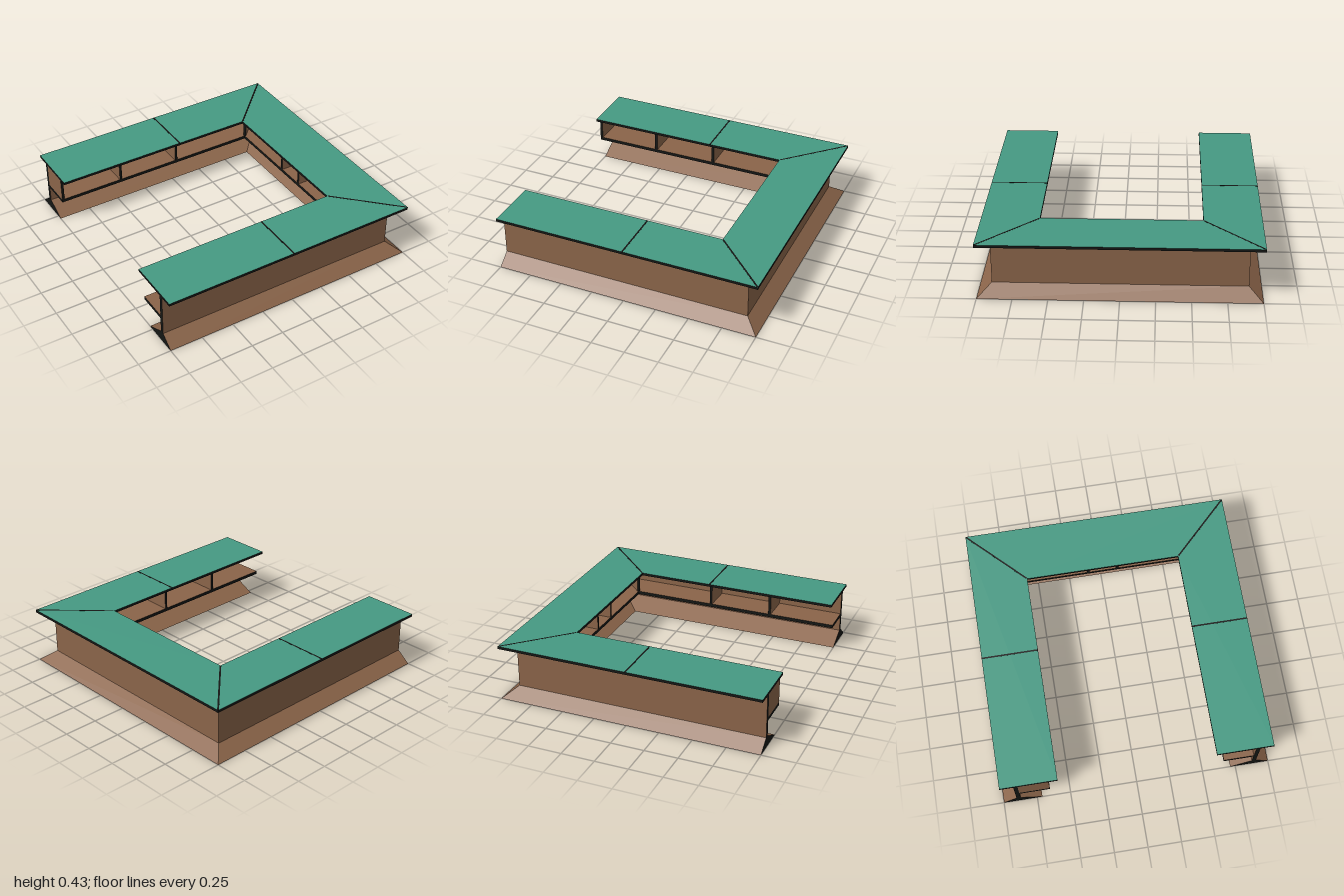
import * as THREE from 'three';

const brown = new THREE.MeshStandardMaterial({ color: 0x8a6449 });
const green = new THREE.MeshStandardMaterial({ color: 0x469a83 });
const black = new THREE.MeshStandardMaterial({ color: 0x141614 });

const WALL = 0.13;    // inner face of the wall, measured inward from the outer edge
const FRONT = 0.355;  // front edge of shelf and dividers
const SHELF = 0.225;  // shelf top
const UNDER = 0.405;  // counter underside
const TOP = 0.425;
const DEPTH = 0.42;   // counter depth

// Sweeps a convex profile round the U with mitred corners.
// Profile points: [inset from outer edge, height, 1 if the face that starts here is dark].
function sweepU(name, profile, main) {
  const ring = ([d, y]) => [[-1, d - 1], [1 - d, d - 1], [1 - d, 1 - d], [-1, 1 - d]]
    .map(([x, z]) => new THREE.Vector3(x, y, z));
  const rings = profile.map(ring);
  const faces = [[], []];
  const quad = (list, a, b, c, d) => list.push(a, b, c, a, c, d);
  profile.forEach((p, k) => {
    const a = rings[k], b = rings[(k + 1) % rings.length];
    for (let i = 0; i < 3; i++) quad(faces[p[2] || 0], a[i], a[i + 1], b[i + 1], b[i]);
  });
  // dark end caps
  const [a, b, c, d] = rings;
  quad(faces[1], a[0], b[0], c[0], d[0]);
  quad(faces[1], d[3], c[3], b[3], a[3]);

  const geometry = new THREE.BufferGeometry().setFromPoints(faces.flat());
  geometry.computeVertexNormals();
  geometry.addGroup(0, faces[0].length, 0);
  geometry.addGroup(faces[0].length, faces[1].length, 1);
  const mesh = new THREE.Mesh(geometry, [main, black]);
  mesh.name = name;
  return mesh;
}

// Upright panel whose dark front edge faces the direction given by the angle
function divider(x, z, angle, length = FRONT - WALL) {
  const geometry = new THREE.BoxGeometry(0.02, UNDER - SHELF, length);
  const mesh = new THREE.Mesh(geometry, [brown, brown, brown, brown, black, brown]);
  mesh.position.set(x, (UNDER + SHELF) / 2, z);
  mesh.rotation.y = angle;
  mesh.name = 'divider';
  return mesh;
}

// Thin dark joint line on the counter top
function seam(x, z, angle, length) {
  const mesh = new THREE.Mesh(new THREE.BoxGeometry(0.012, 0.001, length), black);
  mesh.position.set(x, TOP, z);
  mesh.rotation.y = angle;
  mesh.name = 'counterSeam';
  return mesh;
}

export function createModel() {
  const model = new THREE.Group();
  model.name = 'counter';

  // flared base, wall, shelf and counter top
  model.add(
    sweepU('base', [[0, 0], [0.288, 0], [WALL, 0.08], [0.1, 0.08]], brown),
    sweepU('wall', [[0.1, 0.08], [WALL, 0.08], [WALL, UNDER], [0.1, UNDER]], brown),
    sweepU('shelf', [[WALL, 0.2], [FRONT, 0.2, 1], [FRONT, SHELF], [WALL, SHELF]], brown),
    sweepU('counterTop', [[0, UNDER], [DEPTH, UNDER, 1], [DEPTH, TOP], [0, TOP, 1]], green)
  );

  // dividers under the counter: back arm, front arm, side run
  const mid = 1 - (WALL + FRONT) / 2;
  for (const x of [-0.99, -0.495, 0]) model.add(divider(x, -mid, 0));
  for (const x of [-0.485, 0.01]) model.add(divider(x, mid, Math.PI));
  for (const z of [-0.105, 0.12]) model.add(divider(mid, z, -Math.PI / 2));

  // mitre panels in the corners, and joints in the top
  const half = 1 - DEPTH / 2;
  for (const s of [-1, 1]) {
    const angle = s < 0 ? -Math.PI / 4 : -3 * Math.PI / 4;
    model.add(
      divider(mid, s * mid, angle, (FRONT - WALL) * Math.SQRT2),
      seam(half, s * half, angle, DEPTH * Math.SQRT2 - 0.012),
      seam(0, s * half, 0, DEPTH)
    );
  }
  return model;
}
